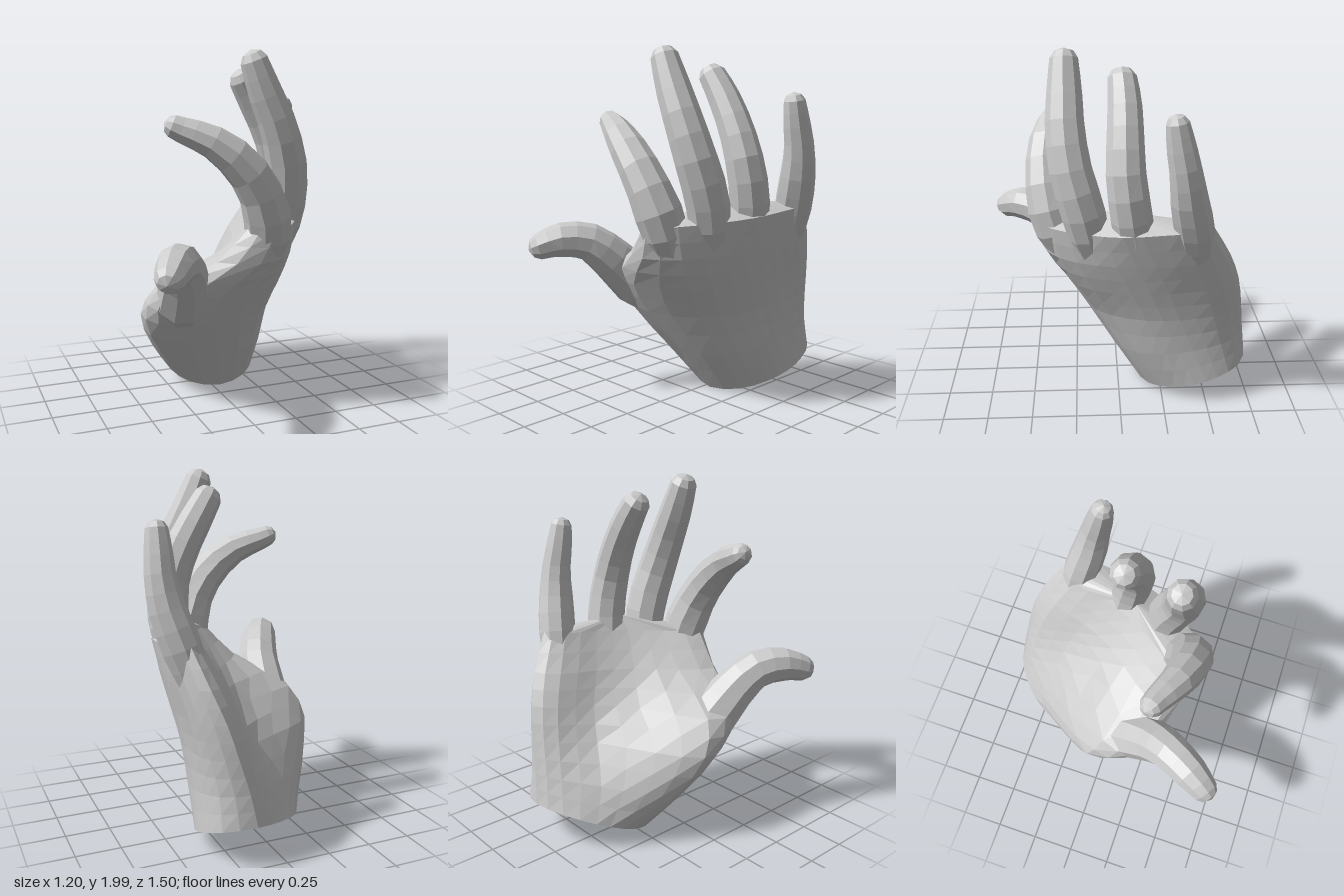
import * as THREE from 'three';

const material = new THREE.MeshStandardMaterial({ color: 0xcccccc, flatShading: true });
const V = (x, y, z) => new THREE.Vector3(x, y, z);

// Skin a stack of rings (counter-clockwise about the direction of travel), closing both ends
function loft(name, rings, startPole, endPole) {
  const n = rings[0].length;
  const pos = [], index = [];
  rings.forEach(r => r.forEach(p => pos.push(p.x, p.y, p.z)));
  for (let k = 0; k < rings.length - 1; k++) {
    for (let i = 0; i < n; i++) {
      const j = (i + 1) % n;
      const a = k * n + i, b = k * n + j, c = a + n, d = b + n;
      index.push(a, b, d, a, d, c);
    }
  }
  const s = rings.length * n, e = s + 1, last = (rings.length - 1) * n;
  pos.push(startPole.x, startPole.y, startPole.z, endPole.x, endPole.y, endPole.z);
  for (let i = 0; i < n; i++) {
    const j = (i + 1) % n;
    index.push(s, j, i, e, last + i, last + j);
  }
  const g = new THREE.BufferGeometry();
  g.setAttribute('position', new THREE.Float32BufferAttribute(pos, 3));
  g.setIndex(index);
  g.computeVertexNormals();
  const mesh = new THREE.Mesh(g, material);
  mesh.name = name;
  return mesh;
}

// Digit along a curve, its narrow root buried in the palm; each point is [x, y, z, radius]
function digit(name, pts, steps = 10, sides = 9) {
  const curve = new THREE.CatmullRomCurve3(pts.map(p => V(p[0], p[1], p[2])));
  const rings = [];
  let u = V(1, 0, 0);
  const ring = (c, t, r) => {
    u = u.clone().addScaledVector(t, -u.dot(t)).normalize();
    const v = t.clone().cross(u);
    rings.push(Array.from({ length: sides }, (_, i) => {
      const a = (i / sides) * Math.PI * 2;
      return c.clone().addScaledVector(u, Math.cos(a) * r).addScaledVector(v, Math.sin(a) * r);
    }));
  };
  for (let k = 0; k <= steps; k++) {
    const t = k / steps, f = t * (pts.length - 1);
    const i = Math.min(Math.floor(f), pts.length - 2);
    ring(curve.getPoint(t), curve.getTangent(t), THREE.MathUtils.lerp(pts[i][3], pts[i + 1][3], f - i));
  }
  // rounded fingertip
  const tip = curve.getPoint(1), dir = curve.getTangent(1), r = pts[pts.length - 1][3];
  ring(tip.clone().addScaledVector(dir, r * 0.5), dir, r * 0.68);
  return loft(name, rings, curve.getPoint(0), tip.clone().addScaledVector(dir, r * 0.75));
}

// Palm sections from wrist to knuckles: thumb-side edge, little-finger edge,
// then x of the back of the hand and of the palm between those edges
const SECTIONS = [
  { f: [0.04, 0.00, -0.12], b: [0.17, 0.23, -0.75], back: [0.23, 0.34, 0.39, 0.39, 0.34], palm: [-0.13, -0.21, -0.21, -0.14, 0.0] },
  { f: [-0.03, 0.25, 0.05], b: [0.20, 0.40, -0.725], back: [0.22, 0.34, 0.38, 0.385, 0.34], palm: [-0.29, -0.37, -0.29, -0.10, 0.06] },
  { f: [-0.13, 0.50, 0.22], b: [0.25, 0.58, -0.70], back: [0.19, 0.33, 0.39, 0.40, 0.37], palm: [-0.42, -0.47, -0.27, 0.02, 0.13] },
  { f: [-0.13, 0.68, 0.33], b: [0.30, 0.76, -0.665], back: [0.23, 0.36, 0.42, 0.43, 0.41], palm: [-0.42, -0.40, -0.05, 0.12, 0.19] },
  { f: [0.06, 0.87, 0.43], b: [0.36, 0.93, -0.60], back: [0.26, 0.39, 0.45, 0.47, 0.45], palm: [-0.15, -0.06, 0.10, 0.19, 0.25] },
  { f: [0.13, 1.05, 0.46], b: [0.42, 1.13, -0.485], back: [0.27, 0.40, 0.48, 0.50, 0.50], palm: [0.02, 0.13, 0.24, 0.30, 0.34] },
];
const STATIONS = [0.1, 0.3, 0.5, 0.7, 0.9];

function palm() {
  const coarse = SECTIONS.map(({ f, b, back, palm }) => {
    const F = V(...f), B = V(...b);
    const at = (s, x) => F.clone().lerp(B, s).setX(x);
    const outer = STATIONS.map((s, i) => at(s, back[i]));
    const inner = STATIONS.map((s, i) => at(s, palm[i])).reverse();
    const loop = new THREE.CatmullRomCurve3([F, ...outer, B, ...inner], true);
    return Array.from({ length: 24 }, (_, i) => loop.getPoint(i / 24));
  });
  // smooth each column from wrist to knuckles
  const columns = coarse[0].map((_, i) => new THREE.CatmullRomCurve3(coarse.map(r => r[i])));
  const rings = Array.from({ length: 11 }, (_, k) => columns.map(c => c.getPoint(k / 10)));
  const middle = r => r.reduce((s, p) => s.add(p), V(0, 0, 0)).divideScalar(r.length);
  const top = middle(rings[10]);
  top.y += 0.08;
  return loft('palm', rings, middle(rings[0]), top);
}

export function createModel() {
  const hand = new THREE.Group();
  hand.name = 'hand';
  hand.add(
    palm(),
    digit('thumb', [
      [-0.22, 0.42, -0.06, 0.08], [-0.29, 0.64, 0.16, 0.15], [-0.33, 0.80, 0.32, 0.128],
      [-0.39, 0.905, 0.44, 0.112], [-0.47, 0.925, 0.58, 0.1], [-0.535, 0.89, 0.69, 0.075]]),
    digit('indexFinger', [
      [0.13, 0.72, 0.18, 0.05], [0.145, 0.94, 0.31, 0.12], [0.13, 1.10, 0.365, 0.133],
      [0.06, 1.27, 0.395, 0.118], [-0.06, 1.42, 0.395, 0.106], [-0.20, 1.525, 0.36, 0.086],
      [-0.31, 1.57, 0.31, 0.072], [-0.38, 1.60, 0.285, 0.06]]),
    digit('middleFinger', [
      [0.26, 0.75, 0.08, 0.05], [0.30, 1.0, 0.155, 0.11], [0.315, 1.20, 0.20, 0.122],
      [0.29, 1.40, 0.255, 0.115], [0.225, 1.60, 0.28, 0.106], [0.14, 1.79, 0.28, 0.094],
      [0.08, 1.94, 0.28, 0.076]]),
    digit('ringFinger', [
      [0.30, 0.75, -0.13, 0.05], [0.36, 1.0, -0.085, 0.11], [0.39, 1.20, -0.055, 0.113],
      [0.37, 1.40, -0.03, 0.106], [0.30, 1.58, -0.03, 0.098], [0.21, 1.74, -0.03, 0.09],
      [0.14, 1.85, -0.02, 0.078]]),
    digit('littleFinger', [
      [0.32, 0.72, -0.45, 0.05], [0.39, 0.97, -0.41, 0.095], [0.445, 1.14, -0.38, 0.11],
      [0.495, 1.30, -0.345, 0.1], [0.52, 1.45, -0.32, 0.085], [0.52, 1.60, -0.29, 0.075],
      [0.52, 1.71, -0.27, 0.06]])
  );
  return hand;
}
